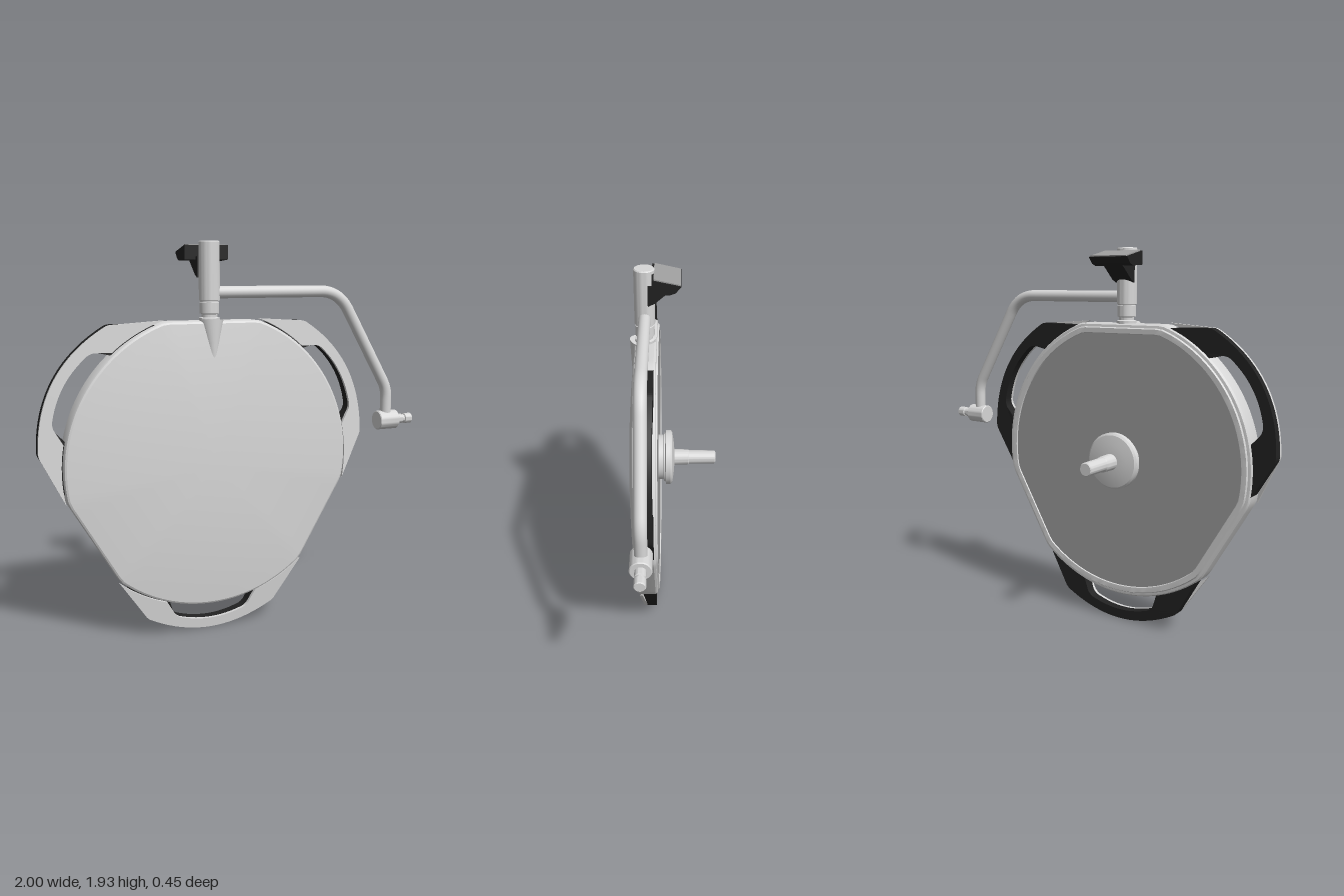
import * as THREE from 'three';
import { toCreasedNormals } from 'three/addons/utils/BufferGeometryUtils.js';

const CX = -0.16, CY = 0.87, POST_Z = 0.137;
const R = 0.73, FLAT = 0.69;

// Circle cut by three flats, facing up, lower left and lower right
function outlineRadius(a) {
  const step = (2 * Math.PI) / 3;
  let d = (a - Math.PI / 2) % step;
  if (d < 0) d += step;
  if (d > step / 2) d -= step;
  return Math.min(R, FLAT / Math.cos(d));
}

// Skin through scaled copies of the outline, rings = [scale, z] from back to front
function loft(rings, crease) {
  const n = 144, pos = [], idx = [];
  rings.forEach(([s, z]) => {
    for (let j = 0; j < n; j++) {
      const a = (j / n) * 2 * Math.PI, r = s * outlineRadius(a);
      pos.push(r * Math.cos(a), r * Math.sin(a), z);
    }
  });
  for (let i = 0; i < rings.length - 1; i++) {
    for (let j = 0; j < n; j++) {
      const k = (j + 1) % n;
      const a = i * n + j, b = i * n + k, c = a + n, d = b + n;
      if (rings[i][0] > 0) idx.push(a, b, d);
      if (rings[i + 1][0] > 0) idx.push(a, d, c);
      else if (rings[i][0] > 0) idx[idx.length - 1] = d;
    }
  }
  const g = new THREE.BufferGeometry();
  g.setAttribute('position', new THREE.Float32BufferAttribute(pos, 3));
  g.setIndex(idx);
  return toCreasedNormals(g, crease);
}

// Grip outline below the head, open towards the disc
function gripShape(inner) {
  const s = new THREE.Shape();
  const a0 = -Math.PI / 2, wide = 0.715, near = 0.33;
  s.moveTo(-inner * Math.sin(wide), -inner * Math.cos(wide));
  s.lineTo(-0.35, -0.755);
  s.quadraticCurveTo(-0.34, -0.772, -0.32, -0.782);
  s.quadraticCurveTo(0, -0.958, 0.32, -0.782);
  s.quadraticCurveTo(0.34, -0.772, 0.35, -0.755);
  s.lineTo(inner * Math.sin(wide), -inner * Math.cos(wide));
  s.absarc(0, 0, inner, a0 + wide, a0 + near, true);
  s.lineTo(0.205, -0.755);
  s.quadraticCurveTo(0.19, -0.785, 0.16, -0.793);
  s.quadraticCurveTo(0, -0.847, -0.16, -0.793);
  s.quadraticCurveTo(-0.19, -0.785, -0.205, -0.755);
  s.lineTo(-inner * Math.sin(near), -inner * Math.cos(near));
  s.absarc(0, 0, inner, a0 - near, a0 - wide, true);
  return s;
}

// Extruded grip whose faces slope back towards the outer edge
function gripGeometry(inner, back, front) {
  const g = new THREE.ExtrudeGeometry(gripShape(inner), { depth: 1, bevelEnabled: false, curveSegments: 20 });
  const p = g.attributes.position;
  for (let i = 0; i < p.count; i++) {
    const d = -p.getY(i) - 0.55;
    p.setZ(i, p.getZ(i) > 0.5 ? front(d) : back(d));
  }
  return toCreasedNormals(g, 0.5);
}

function lathe(points, crease = 0.5) {
  return toCreasedNormals(new THREE.LatheGeometry(points.map(([r, y]) => new THREE.Vector2(r, y)), 40), crease);
}

// Side profile in (z, y), extruded across x and centred
function sideExtrude(points, width) {
  const g = new THREE.ExtrudeGeometry(new THREE.Shape(points.map(([z, y]) => new THREE.Vector2(z, y))),
    { depth: width, bevelEnabled: false });
  g.translate(0, 0, -width / 2);
  g.rotateY(-Math.PI / 2);
  return g;
}

export function createModel() {
  const root = new THREE.Group();
  root.name = 'surgicalLamp';
  const mat = (name, color) => Object.assign(new THREE.MeshStandardMaterial({ color }), { name });
  const light = mat('lightGrey', 0xd8d8d8);
  const panel = mat('panelGrey', 0xa0a0a0);
  const black = mat('gripBlack', 0x222222);

  const add = (parent, name, geo, material, x = 0, y = 0, z = 0) => {
    const m = new THREE.Mesh(geo, material);
    m.name = name;
    m.position.set(x, y, z);
    parent.add(m);
    return m;
  };

  // Lamp head
  const head = new THREE.Group();
  head.name = 'lampHead';
  head.position.set(CX, CY, 0);
  root.add(head);
  add(head, 'housing', loft([[0.92, 0.084], [0.93, 0.073], [0.965, 0.072], [0.972, 0.08],
    [0.99, 0.082], [1, 0.092], [1, 0.172], [0.994, 0.182], [0.982, 0.187]], 0.5), light);
  const dome = [];
  for (let i = 0; i <= 12; i++) {
    const t = 1 - i / 12;
    dome.push([0.982 * t, 0.187 + 0.04 * (1 - t * t)]);
  }
  add(head, 'frontDome', loft(dome, 1), light);
  add(head, 'backPanel', loft([[0, 0.078], [0.93, 0.078]], 0.5), panel);

  // Tapered swelling below the post
  const swell = add(head, 'postFairing', new THREE.CylinderGeometry(0.062, 0.004, 0.24, 32), light, 0, 0.57, 0.174);
  swell.rotation.x = -0.19;

  // Three grips around the head
  const front = (d) => 0.178 - 0.1 * d;
  const gripBack = gripGeometry(0.712, (d) => 0.09 + 0.02 * Math.max(0, d - 0.15), (d) => front(d) - 0.016);
  const gripFront = gripGeometry(0.737, (d) => front(d) - 0.016, front);
  for (let i = 0; i < 3; i++) {
    const grip = new THREE.Group();
    grip.name = 'grip' + (i + 1);
    grip.rotation.z = (i * 2 * Math.PI) / 3;
    add(grip, 'gripBack', gripBack, black);
    add(grip, 'gripFront', gripFront, light);
    head.add(grip);
  }

  // Rear hub and steering handle, turned to point backwards
  const hub = add(head, 'rearHub', lathe([[0.12, -0.08], [0.12, -0.052], [0.13, -0.048], [0.13, -0.042],
    [0.145, -0.038], [0.145, -0.015], [0.135, -0.006], [0.09, 0.002], [0.04, 0.006], [0, 0.006]]), light);
  const stem = add(head, 'rearHandle', lathe([[0.042, 0], [0.04, 0.08], [0.036, 0.085], [0.035, 0.22],
    [0.03, 0.225], [0, 0.225]]), light);
  hub.rotation.x = stem.rotation.x = -Math.PI / 2;

  // Post with swivel collar
  add(root, 'post', lathe([[0.05, 1.54], [0.05, 1.572], [0.038, 1.576], [0.038, 1.59], [0.047, 1.594],
    [0.047, 1.645], [0.044, 1.647], [0.044, 1.653], [0.05, 1.655], [0.05, 1.925], [0.046, 1.93], [0, 1.93]]),
  light, CX, 0, POST_Z);

  // Bent side arm
  const v = (x, y) => new THREE.Vector3(x, y, POST_Z);
  const path = new THREE.CurvePath();
  path.add(new THREE.LineCurve3(v(CX, 1.692), v(0.43, 1.692)));
  path.add(new THREE.QuadraticBezierCurve3(v(0.43, 1.692), v(0.54, 1.692), v(0.597, 1.595)));
  path.add(new THREE.LineCurve3(v(0.597, 1.595), v(0.815, 1.225)));
  path.add(new THREE.QuadraticBezierCurve3(v(0.815, 1.225), v(0.842, 1.18), v(0.842, 1.13)));
  path.add(new THREE.LineCurve3(v(0.842, 1.13), v(0.842, 1.01)));
  add(root, 'sideArm', new THREE.TubeGeometry(path, 90, 0.029, 20), light);

  // Joint and spigot at the end of the arm
  const joint = add(root, 'armJoint', lathe([[0, 0], [0.046, 0], [0.05, 0.004], [0.05, 0.111], [0.046, 0.115],
    [0.026, 0.115], [0.026, 0.15], [0.021, 0.153], [0.021, 0.165], [0.027, 0.168], [0.027, 0.206],
    [0.023, 0.21], [0, 0.21]]), light, 0.79, 1.01, POST_Z);
  joint.rotation.z = -Math.PI / 2;

  // Control bracket behind the post
  const bracket = new THREE.Group();
  bracket.name = 'controlBracket';
  bracket.position.x = CX;
  root.add(bracket);
  add(bracket, 'bracketTray', sideExtrude([[0.1, 1.912], [0.1, 1.845], [0.02, 1.84], [-0.01, 1.85],
    [-0.038, 1.882]], 0.22), black);
  add(bracket, 'bracketNeck', sideExtrude([[0.12, 1.86], [0.12, 1.76], [0.088, 1.775], [0.005, 1.845]], 0.11), black);
  add(bracket, 'bracketTop', sideExtrude([[0.09, 1.916], [0.09, 1.908], [-0.034, 1.881], [-0.036, 1.888]], 0.205), panel);

  return root;
}
